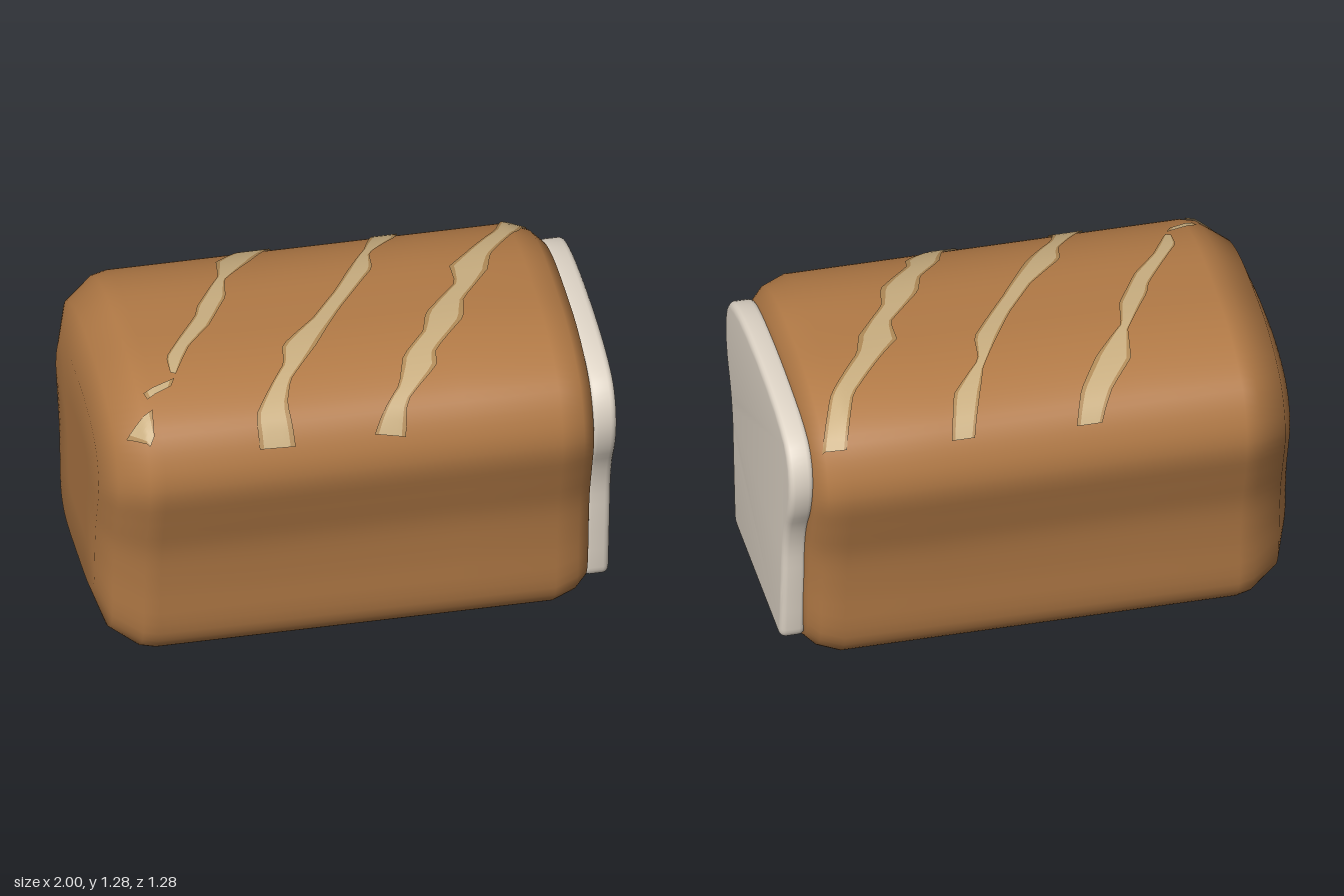
import * as THREE from 'three';
import { toCreasedNormals } from 'three/addons/utils/BufferGeometryUtils.js';

const material = (name, color, side = THREE.FrontSide) => {
  const m = new THREE.MeshStandardMaterial({ color, side });
  m.name = name;
  return m;
};

const MID = 0.635; // height of the loaf's centre line

// Half outline of the loaf (z, y), bottom centre to top centre
const crustHalf = [
  [0, 0], [0.25, 0.004], [0.38, 0.025], [0.46, 0.08], [0.5, 0.16], [0.52, 0.38], [0.545, 0.57],
  [0.595, 0.74], [0.638, 0.9], [0.625, 1.01], [0.56, 1.13], [0.44, 1.205], [0.25, 1.258], [0, 1.27],
];
// Half outline of the cut slice
const sliceHalf = [
  [0.4, 0.16], [0.425, 0.42], [0.44, 0.58], [0.475, 0.7], [0.53, 0.81], [0.555, 0.92],
  [0.54, 1.02], [0.49, 1.09], [0.4, 1.13], [0.25, 1.158], [0, 1.17],
];
// Stations along x with the inset of the outline there
const stations = [
  [-1, MID], [-1, 0.42], [-1, 0.22], [-0.95, 0.085], [-0.84, 0.012], [-0.78, 0], [-0.4, 0], [0, 0],
  [0.4, 0], [0.77, 0], [0.86, 0.03], [0.905, 0.07], [0.92, 0.15], [0.92, 0.4], [0.92, MID],
];

const mirrored = (half) => half.concat(half.slice(0, -1).reverse().map(([z, y]) => [-z, y]));
const smooth = (half, n) => {
  const curve = new THREE.CatmullRomCurve3(
    mirrored(half).map(([z, y]) => new THREE.Vector3(z, y, 0)), false, 'centripetal');
  return curve.getPoints(n);
};
const outline = smooth(crustHalf, 104);

// Piecewise linear lookup in a list sorted by key
function lookup(list, k, key, value) {
  for (let i = 0; i < list.length - 1; i++) {
    const a = list[i], b = list[i + 1];
    if (k <= b[key] || i === list.length - 2) {
      const t = THREE.MathUtils.clamp((k - a[key]) / (b[key] - a[key] || 1), 0, 1);
      return a[value] + (b[value] - a[value]) * t;
    }
  }
}

function crustGeometry() {
  const pos = [], index = [], n = outline.length;
  for (const [x, inset] of stations) {
    const s = 1 - inset / MID;
    for (const p of outline) pos.push(x, MID + (p.y - MID) * s, p.x * s);
  }
  for (let i = 0; i < stations.length - 1; i++) {
    for (let j = 0; j < n - 1; j++) {
      const a = i * n + j, c = i * n + (j + 1) % (n - 1), b = a + n, d = c + n;
      index.push(a, b, c, c, b, d);
    }
  }
  const g = new THREE.BufferGeometry();
  g.setAttribute('position', new THREE.Float32BufferAttribute(pos, 3));
  g.setIndex(index);
  g.computeVertexNormals();
  return g;
}

// Upper part of the outline, sorted by z
const upper = outline.filter((p) => p.y > 0.9).map((p) => [p.x, p.y]).sort((a, b) => a[0] - b[0]);

// Point just above the crust over (x, z)
function onCrust(x, z) {
  const s = 1 - lookup(stations.slice(2, -2), x, 0, 1) / MID;
  const y = lookup(upper, z / s, 0, 1);
  const lift = s * 1.01;
  return [x, MID + (y - MID) * lift, z * 1.01];
}

// Strip between two edges (x, z), from fraction f0 to f1 of its width
function stripGeometry(left, right, f0, f1) {
  const rows = 40, cols = 4, pos = [], index = [];
  const edge = (list, t) => {
    const z = THREE.MathUtils.lerp(list[0][1], list[list.length - 1][1], t);
    return [lookup(list, z, 1, 0), z];
  };
  for (let i = 0; i <= rows; i++) {
    const l = edge(left, i / rows), r = edge(right, i / rows);
    for (let j = 0; j <= cols; j++) {
      const f = f0 + (f1 - f0) * j / cols;
      pos.push(...onCrust(l[0] + (r[0] - l[0]) * f, l[1] + (r[1] - l[1]) * f));
      if (i < rows && j < cols) {
        const a = i * (cols + 1) + j, b = a + cols + 1;
        index.push(a, b, a + 1, a + 1, b, b + 1);
      }
    }
  }
  const g = new THREE.BufferGeometry();
  g.setAttribute('position', new THREE.Float32BufferAttribute(pos, 3));
  g.setIndex(index);
  g.computeVertexNormals();
  return g;
}

// Left and right edges of the scores across the top, as (x, z)
const scores = [
  [[[-0.22, -0.59], [-0.28, -0.5], [-0.38, -0.39], [-0.4, -0.25], [-0.52, -0.06], [-0.54, 0], [-0.7, 0.23], [-0.7, 0.31]],
    [[-0.12, -0.59], [-0.16, -0.49], [-0.25, -0.36], [-0.38, -0.22], [-0.4, -0.1], [-0.5, 0.07], [-0.6, 0.18], [-0.68, 0.32]]],
  [[[-0.82, 0.385], [-0.81, 0.415]], [[-0.69, 0.34], [-0.71, 0.375]]],
  [[[-0.91, 0.5], [-0.83, 0.57]], [[-0.8, 0.46], [-0.81, 0.55]]],
  [[[0.28, -0.585], [0.21, -0.4], [0.19, -0.34], [0.02, -0.06], [-0.1, 0.1], [-0.25, 0.24], [-0.26, 0.33], [-0.41, 0.53], [-0.41, 0.608]],
    [[0.37, -0.585], [0.33, -0.44], [0.2, -0.3], [0.19, -0.18], [0.02, 0.05], [-0.12, 0.26], [-0.25, 0.41], [-0.28, 0.5], [-0.27, 0.61]]],
  [[[0.78, -0.57], [0.71, -0.38], [0.55, -0.2], [0.48, -0.13], [0.48, -0.02], [0.33, 0.15], [0.3, 0.25], [0.2, 0.36], [0.16, 0.48], [0.04, 0.605]],
    [[0.87, -0.54], [0.8, -0.37], [0.65, -0.18], [0.62, -0.08], [0.49, 0.09], [0.47, 0.2], [0.33, 0.35], [0.32, 0.42], [0.18, 0.54], [0.16, 0.615]]],
];

function sliceGeometry() {
  const r = 0.05, pts = smooth(sliceHalf, 60);
  const shape = new THREE.Shape();
  shape.moveTo(pts[0].x, pts[0].y);
  pts.slice(1).forEach((p) => shape.lineTo(p.x, p.y));
  shape.quadraticCurveTo(-0.395, 0.11, -0.395 + r, 0.11);
  shape.lineTo(0.395 - r, 0.11);
  shape.quadraticCurveTo(0.395, 0.11, pts[0].x, pts[0].y);
  const g = new THREE.ExtrudeGeometry(shape, {
    depth: 0.05, bevelEnabled: true, bevelThickness: 0.025, bevelSize: 0.027,
    bevelOffset: -0.027, bevelSegments: 4, curveSegments: 6,
  });
  g.rotateY(Math.PI / 2);
  g.translate(0.925, 0, 0);
  return toCreasedNormals(g, 0.6);
}

export function createModel() {
  const crust = material('crust brown', 0xb27a46);
  const crumb = material('crumb cream', 0xe0d6c8);
  const score = material('score tan', 0xc9ae80, THREE.DoubleSide);
  const scoreEdge = material('score edge', 0xb08a57, THREE.DoubleSide);

  const loaf = new THREE.Group();
  loaf.name = 'breadLoaf';
  const add = (name, geometry, mat) => {
    const mesh = new THREE.Mesh(geometry, mat);
    mesh.name = name;
    loaf.add(mesh);
  };

  add('crust', crustGeometry(), crust);
  add('cutSlice', sliceGeometry(), crumb);
  // Each score has a pale middle and darker borders
  scores.forEach(([left, right], i) => {
    add(`score${i + 1}`, stripGeometry(left, right, 0.12, 0.86), score);
    add(`scoreBorderLeft${i + 1}`, stripGeometry(left, right, 0, 0.12), scoreEdge);
    add(`scoreBorderRight${i + 1}`, stripGeometry(left, right, 0.86, 1), scoreEdge);
  });
  return loaf;
}
